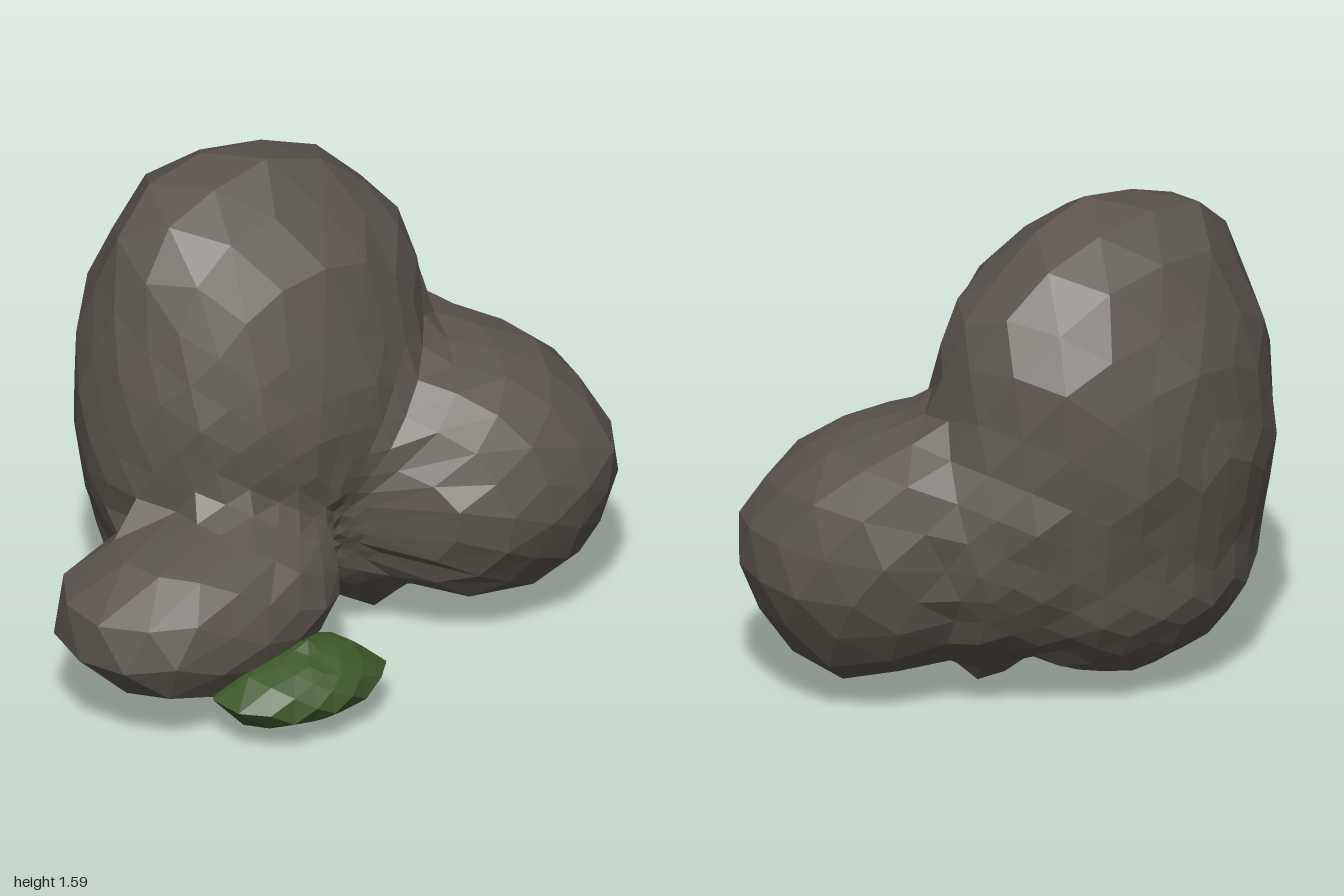
import * as THREE from 'three';

const { lerp, clamp } = THREE.MathUtils;

// Approximate signed distance to a lobe given by level sections [y, xMin, xMax, zMin, zMax];
// power 2 makes round sections, higher powers make them boxier
function lobeDistance({ rows, power }, p) {
  const y = clamp(p.y, rows[0][0], rows[rows.length - 1][0]);
  let k = 0;
  while (k < rows.length - 2 && y > rows[k + 1][0]) k++;
  const a = rows[k], b = rows[k + 1];
  const t = (y - a[0]) / (b[0] - a[0]);
  const x0 = lerp(a[1], b[1], t), x1 = lerp(a[2], b[2], t);
  const z0 = lerp(a[3], b[3], t), z1 = lerp(a[4], b[4], t);
  const rx = (x1 - x0) / 2, rz = (z1 - z0) / 2;
  const u = Math.abs(p.x - (x0 + x1) / 2) / rx, v = Math.abs(p.z - (z0 + z1) / 2) / rz;
  const q = Math.pow(Math.pow(u, power) + Math.pow(v, power), 1 / power);
  return (q - 1) * Math.min(rx, rz) + Math.abs(p.y - y);
}

// Union of the lobes with softened junctions
function blendedDistance(lobes, p, soft) {
  return lobes.map(l => lobeDistance(l, p)).reduce((m, f) => {
    const h = Math.max(soft - Math.abs(m - f), 0) / soft;
    return Math.min(m, f) - h * h * soft / 4;
  });
}

// Faceted skin: a subdivided sphere pushed out from the centre onto the blended lobes
function facetedRock(name, lobes, center, material, detail, rough, seed) {
  const geo = new THREE.IcosahedronGeometry(1, detail);
  const pos = geo.attributes.position;
  const d = new THREE.Vector3(), p = new THREE.Vector3();
  const outside = t => blendedDistance(lobes, p.copy(center).addScaledVector(d, t), 0.07) > 0;
  for (let i = 0; i < pos.count; i++) {
    d.fromBufferAttribute(pos, i).normalize();
    let hi = 1.5;
    while (hi > 0.02 && outside(hi - 0.01)) hi -= 0.01;
    let lo = hi - 0.01;
    for (let n = 0; n < 8; n++) {
      const mid = (lo + hi) / 2;
      if (outside(mid)) hi = mid; else lo = mid;
    }
    // Smooth seeded bumps tilt the facets irregularly
    const bump = Math.sin(d.x * 19 + seed) * Math.sin(d.y * 17 + seed * 2) + Math.sin(d.z * 21 + d.x * 8 + seed * 3);
    p.copy(center).addScaledVector(d, lo * 1.006 + rough * bump);
    pos.setXYZ(i, p.x, Math.max(p.y, 0), p.z);
  }
  geo.computeVertexNormals();
  const mesh = new THREE.Mesh(geo, material);
  mesh.name = name;
  return mesh;
}

// Tall boulder at the back
const tall = { power: 2, rows: [
  [0.00, -0.11, -0.04, -0.20, -0.12],
  [0.04, -0.20, 0.08, -0.32, -0.03],
  [0.15, -0.38, 0.28, -0.50, 0.05],
  [0.31, -0.50, 0.42, -0.61, 0.14],
  [0.60, -0.60, 0.53, -0.64, 0.27],
  [0.80, -0.61, 0.55, -0.69, 0.30],
  [0.95, -0.60, 0.55, -0.67, 0.28],
  [1.15, -0.56, 0.53, -0.65, 0.22],
  [1.28, -0.52, 0.48, -0.59, 0.19],
  [1.45, -0.45, 0.34, -0.51, 0.05],
  [1.51, -0.38, 0.25, -0.46, -0.01],
  [1.57, -0.14, 0.06, -0.32, -0.12],
  [1.58, -0.02, 0.02, -0.27, -0.18],
] };

// Round boulder on the left (+x)
const round = { power: 2.2, rows: [
  [0.10, 0.58, 0.74, 0.05, 0.22],
  [0.14, 0.32, 0.82, 0.00, 0.40],
  [0.25, 0.20, 0.90, -0.13, 0.51],
  [0.40, 0.11, 0.97, -0.19, 0.58],
  [0.55, 0.10, 0.99, -0.22, 0.59],
  [0.72, 0.14, 0.91, -0.23, 0.51],
  [0.85, 0.24, 0.77, -0.23, 0.38],
  [0.90, 0.32, 0.69, -0.18, 0.20],
  [0.93, 0.42, 0.52, -0.10, 0.05],
] };

// Shoulder joining the round boulder to the tall one
const shoulder = { power: 2, rows: [
  [0.12, 0.12, 0.42, -0.15, 0.15],
  [0.25, -0.05, 0.58, -0.36, 0.25],
  [0.45, -0.12, 0.66, -0.48, 0.30],
  [0.70, -0.12, 0.67, -0.51, 0.30],
  [0.88, -0.05, 0.58, -0.45, 0.24],
  [0.96, 0.10, 0.45, -0.30, 0.10],
] };

// Low boulder on the right (-x)
const low = { power: 2.5, rows: [
  [0.08, -0.60, -0.35, 0.10, 0.27],
  [0.12, -0.70, -0.24, 0.02, 0.40],
  [0.22, -0.94, -0.12, -0.07, 0.47],
  [0.35, -0.99, -0.05, -0.14, 0.51],
  [0.50, -0.94, -0.06, -0.11, 0.46],
  [0.58, -0.75, -0.16, 0.02, 0.34],
  [0.61, -0.48, -0.25, 0.10, 0.25],
] };

// Moss clump
const clump = { power: 2.2, rows: [
  [0.05, -0.44, -0.26, 0.42, 0.53],
  [0.08, -0.57, -0.15, 0.34, 0.62],
  [0.12, -0.63, -0.08, 0.31, 0.68],
  [0.18, -0.65, -0.05, 0.31, 0.68],
  [0.23, -0.56, -0.14, 0.35, 0.63],
  [0.26, -0.44, -0.22, 0.41, 0.56],
  [0.27, -0.38, -0.27, 0.45, 0.52],
] };

export function createModel() {
  const stone = new THREE.MeshStandardMaterial({ name: 'stone', color: 0x5c564c, flatShading: true });
  const moss = new THREE.MeshStandardMaterial({ name: 'moss', color: 0x3d5a2c, flatShading: true });
  const group = new THREE.Group();
  group.name = 'rockCluster';
  group.add(
    facetedRock('boulders', [tall, round, shoulder, low], new THREE.Vector3(0, 0.45, 0.02), stone, 6, 0.006, 1.3),
    facetedRock('mossClump', [clump], new THREE.Vector3(-0.35, 0.16, 0.5), moss, 2, 0.004, 0.6),
  );
  return group;
}
